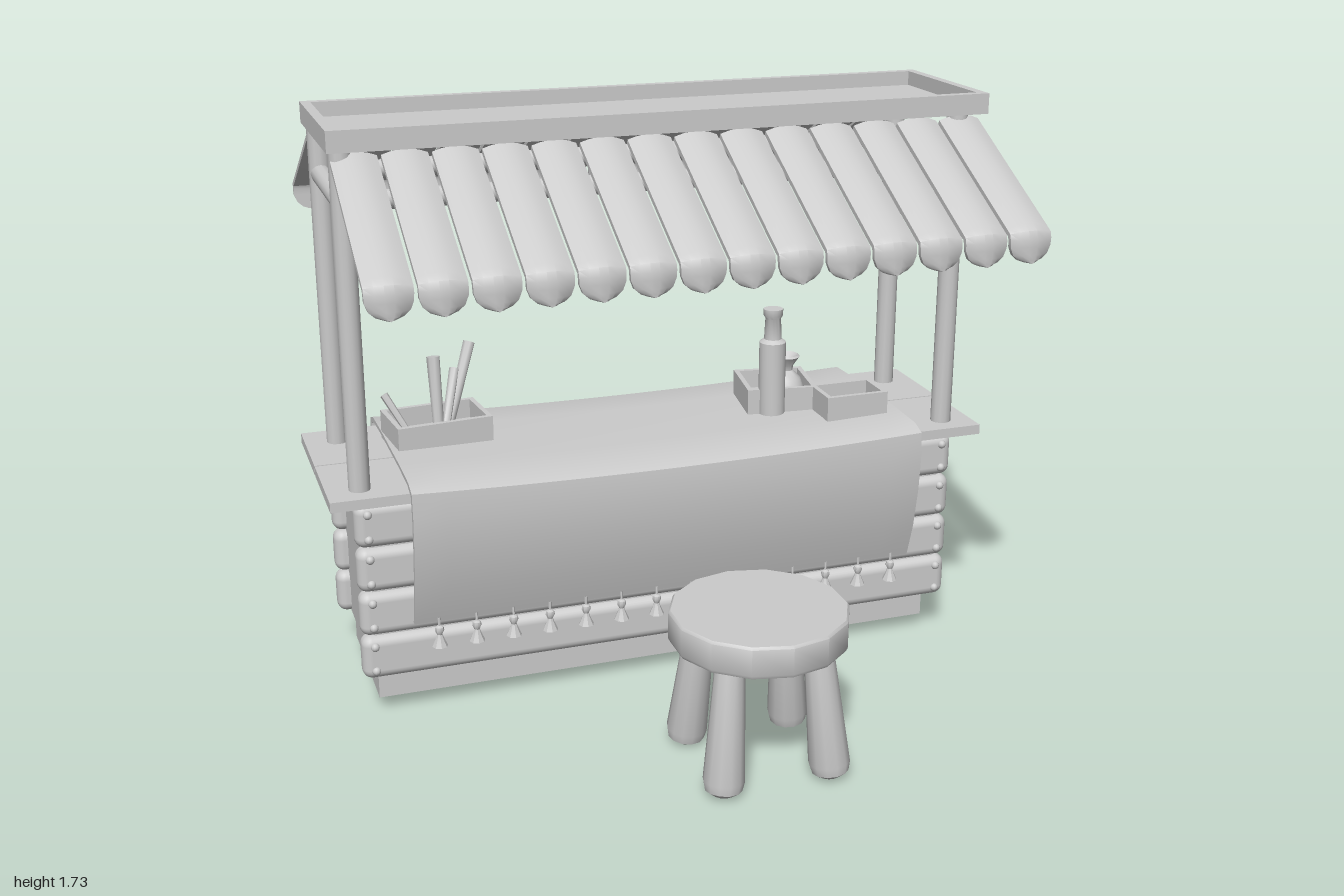
import * as THREE from 'three';
import { toCreasedNormals } from 'three/addons/utils/BufferGeometryUtils.js';
import { RoundedBoxGeometry } from 'three/addons/geometries/RoundedBoxGeometry.js';

const mat = new THREE.MeshStandardMaterial({ color: 0xcccccc, side: THREE.DoubleSide });
const V = (x, y, z) => new THREE.Vector3(x, y, z);

function add(parent, name, geo, x = 0, y = 0, z = 0) {
  const m = new THREE.Mesh(geo, mat);
  m.name = name;
  m.position.set(x, y, z);
  parent.add(m);
  return m;
}
function group(parent, name, x = 0, y = 0, z = 0) {
  const g = new THREE.Group();
  g.name = name;
  g.position.set(x, y, z);
  parent.add(g);
  return g;
}
// Box given by its limits on each axis
const block = (p, name, x0, x1, y0, y1, z0, z1) =>
  add(p, name, new THREE.BoxGeometry(x1 - x0, y1 - y0, z1 - z0), (x0 + x1) / 2, (y0 + y1) / 2, (z0 + z1) / 2);
// Tapered pole between two points
function pole(p, name, a, b, r0, r1 = r0, sides = 12) {
  const geo = toCreasedNormals(new THREE.CylinderGeometry(r1, r0, a.distanceTo(b), sides), 0.9);
  const m = add(p, name, geo);
  m.position.copy(a).add(b).multiplyScalar(0.5);
  m.quaternion.setFromUnitVectors(V(0, 1, 0), b.clone().sub(a).normalize());
  return m;
}
const lathe = (pts, sides = 16) =>
  toCreasedNormals(new THREE.LatheGeometry(pts.map(([r, y]) => new THREE.Vector2(r, y)), sides), 0.7);

// Curved awning slat with a hanging, rounded tip, swept from cross-sections
function slatGeometry() {
  const rows = [ // z, y, half width, normal angle
    [0.04, 1.675, 0.063, 0.49], [0.25, 1.563, 0.063, 0.49], [0.47, 1.446, 0.063, 0.49],
    [0.495, 1.43, 0.063, 1.0], [0.503, 1.405, 0.063, 1.57], [0.503, 1.385, 0.062, 1.57],
    [0.503, 1.362, 0.053, 1.57], [0.503, 1.347, 0.036, 1.57], [0.503, 1.34, 0.018, 1.57], [0.503, 1.338, 0.002, 1.57]];
  const us = [1, 0.6, 0.2, -0.2, -0.6, -1];
  const loop = [[-1, -0.03], [1, -0.03], ...us.map(u => [u, -0.016 * u * u])];
  const pos = [], idx = [], n = loop.length;
  rows.forEach(([z, y, w, a], i) => loop.forEach(([u, h], j) => {
    pos.push(u * w, y + h * Math.cos(a), z + h * Math.sin(a));
    if (i === rows.length - 1) return;
    const p = i * n + j, q = i * n + (j + 1) % n;
    idx.push(p, q, p + n, q, q + n, p + n);
  }));
  const g = new THREE.BufferGeometry();
  g.setAttribute('position', new THREE.Float32BufferAttribute(pos, 3));
  g.setIndex(idx);
  return toCreasedNormals(g, 0.7);
}

// Cloth draped over the counter, sagging slightly in the middle
function clothGeometry() {
  const half = [[0.278, 0.31], [0.312, 0.42], [0.335, 0.55], [0.343, 0.66], [0.338, 0.735], [0.29, 0.752], [0.15, 0.757]];
  const outer = [...half, ...half.map(([z, y]) => [-z, y]).reverse()];
  const inner = outer.map(([z, y]) => [z * 0.95, y > 0.7 ? y - 0.012 : y]).reverse();
  const s = new THREE.Shape([...outer, ...inner].map(([z, y]) => new THREE.Vector2(z, y)));
  const g = new THREE.ExtrudeGeometry(s, { depth: 1.56, steps: 16, bevelEnabled: false });
  g.translate(0, 0, -0.78).rotateY(-Math.PI / 2);
  const p = g.attributes.position;
  for (let i = 0; i < p.count; i++) {
    const sag = 1 - (p.getX(i) / 0.78) ** 2;
    if (p.getY(i) > 0.7) p.setY(i, p.getY(i) - 0.016 * sag);
  }
  return toCreasedNormals(g, 0.7);
}

// Open tray with a floor and four walls
function tray(p, name, x, z, w, d, turn) {
  const g = group(p, name, x, 0.735, z), h = 0.088, t = 0.015;
  g.rotation.y = turn;
  block(g, 'trayFloor', -w / 2, w / 2, 0, 0.03, -d / 2, d / 2);
  for (const s of [-1, 1]) {
    add(g, 'trayLongWall', new THREE.BoxGeometry(w, h, t), 0, h / 2, s * (d - t) / 2);
    add(g, 'trayShortWall', new THREE.BoxGeometry(t, h, d - 2 * t), s * (w - t) / 2, h / 2, 0);
  }
  return g;
}

export function createModel() {
  const model = new THREE.Group();
  model.name = 'marketStall';

  // Counter body and top planks
  const counter = group(model, 'counter');
  block(counter, 'base', -0.88, 0.88, 0.05, 0.15, -0.41, 0.01);
  block(counter, 'body', -0.89, 0.89, 0.14, 0.69, -0.45, 0.05);
  block(counter, 'topPlankFront', -1, 1, 0.692, 0.722, -0.184, 0.11);
  block(counter, 'topPlankBack', -1, 1, 0.692, 0.722, -0.48, -0.19);

  // Rounded logs with bolts, front and back
  const log = new RoundedBoxGeometry(1.86, 0.135, 0.07, 3, 0.03);
  const bolt = new THREE.SphereGeometry(0.013, 10, 8);
  for (const s of [-1, 1]) {
    for (let i = 0; i < 4; i++) {
      const y = 0.207 + i * 0.137;
      add(counter, 'log', log, 0, y, -0.2 + s * 0.237);
      for (const x of [-0.893, 0.893]) for (const dy of [-0.038, 0.038])
        add(counter, 'bolt', bolt, x, y + dy, -0.2 + s * 0.27);
    }
  }

  // Cloth and tassels
  const cloth = group(model, 'tablecloth', 0, 0, -0.187);
  add(cloth, 'cloth', clothGeometry());
  const tassel = lathe([[0.004, 0.325], [0.004, 0.3], [0.012, 0.295], [0.014, 0.285], [0.008, 0.272], [0.012, 0.26], [0.023, 0.235], [0, 0.232]], 8);
  for (const s of [-1, 1]) for (let i = 0; i < 14; i++) add(cloth, 'tassel', tassel, -0.71 + i * 0.11, 0, s * 0.285);

  // Posts and beams
  const frame = group(model, 'roofSupport');
  for (const x of [-0.905, 0.905]) {
    for (const z of [0.03, -0.38]) pole(frame, 'post', V(x, 0.7, z), V(x, 1.69, z), 0.031);
    pole(frame, 'sideBeam', V(x, 1.54, 0.03), V(x, 1.54, -0.38), 0.028);
  }
  for (const z of [0.03, -0.38]) pole(frame, 'longBeam', V(-0.905, 1.54, z), V(0.905, 1.54, z), 0.028);

  // Roof tray with raised rim
  const roof = group(model, 'roof', 0.018, 0, -0.172);
  const rect = (S, w, d) => new S([[-w, -d], [w, -d], [w, d], [-w, d]].map(([x, y]) => new THREE.Vector2(x, y)));
  const rim = rect(THREE.Shape, 0.963, 0.25);
  rim.holes.push(rect(THREE.Path, 0.935, 0.222));
  add(roof, 'roofRim', new THREE.ExtrudeGeometry(rim, { depth: 0.06, bevelEnabled: false }).rotateX(-Math.PI / 2), 0, 1.68, 0);
  block(roof, 'roofPanel', -0.94, 0.94, 1.682, 1.697, -0.225, 0.225);

  // Awnings on both sides
  const slat = slatGeometry();
  for (const [name, turn] of [['frontAwning', 0], ['backAwning', Math.PI]]) {
    const awning = group(model, name, 0.02, 0, -0.176);
    awning.rotation.y = turn;
    for (let i = 0; i < 14; i++) add(awning, 'awningSlat', slat, (i - 6.5) * 0.1368, 0, 0.176);
  }

  // Tray of utensils
  const goods = group(model, 'goods');
  tray(goods, 'utensilTray', -0.625, -0.25, 0.29, 0.19, 0.1);
  const sticks = [[-0.59, -0.27, -0.495, 1.0, -0.36, 0.018], [-0.62, -0.24, -0.622, 0.99, -0.28, 0.02],
    [-0.61, -0.22, -0.55, 0.93, -0.33, 0.015], [-0.7, -0.26, -0.77, 0.88, -0.3, 0.012]];
  for (const [x, z, tx, ty, tz, r] of sticks) pole(goods, 'utensil', V(x, 0.75, z), V(tx, ty, tz), r * 0.8, r, 8);

  // Trays with bottle and pot
  tray(goods, 'potTray', 0.455, -0.235, 0.22, 0.21, -0.15);
  tray(goods, 'smallTray', 0.635, -0.07, 0.2, 0.14, 0);
  add(goods, 'bottle', lathe([[0, 0.735], [0.041, 0.735], [0.041, 0.975], [0.027, 0.985], [0.024, 1.05], [0.03, 1.06], [0.03, 1.08], [0, 1.08]]), 0.408, 0, -0.145);
  add(goods, 'pot', lathe([[0, 0.75], [0.035, 0.755], [0.055, 0.79], [0.045, 0.82], [0.02, 0.845], [0.022, 0.86], [0.042, 0.89], [0.036, 0.895], [0, 0.865]]), 0.497, 0, -0.245);

  // Stool with four splayed legs
  const stool = group(model, 'stool', 0.075, 0, 0.608);
  add(stool, 'stoolSeat', lathe([[0, 0.38], [0.245, 0.38], [0.25, 0.39], [0.25, 0.465], [0.244, 0.472], [0, 0.472]], 14));
  const leg = lathe([[0, 0], [0.03, 0.003], [0.052, 0.018], [0.058, 0.045], [0.04, 0.4], [0, 0.4]], 12);
  for (const x of [-1, 1]) for (const z of [-1, 1]) {
    const m = add(stool, 'stoolLeg', leg, x * 0.158, 0.006, z * 0.155);
    m.rotation.set(-z * 0.1, 0, x * 0.08);
  }
  return model;
}
